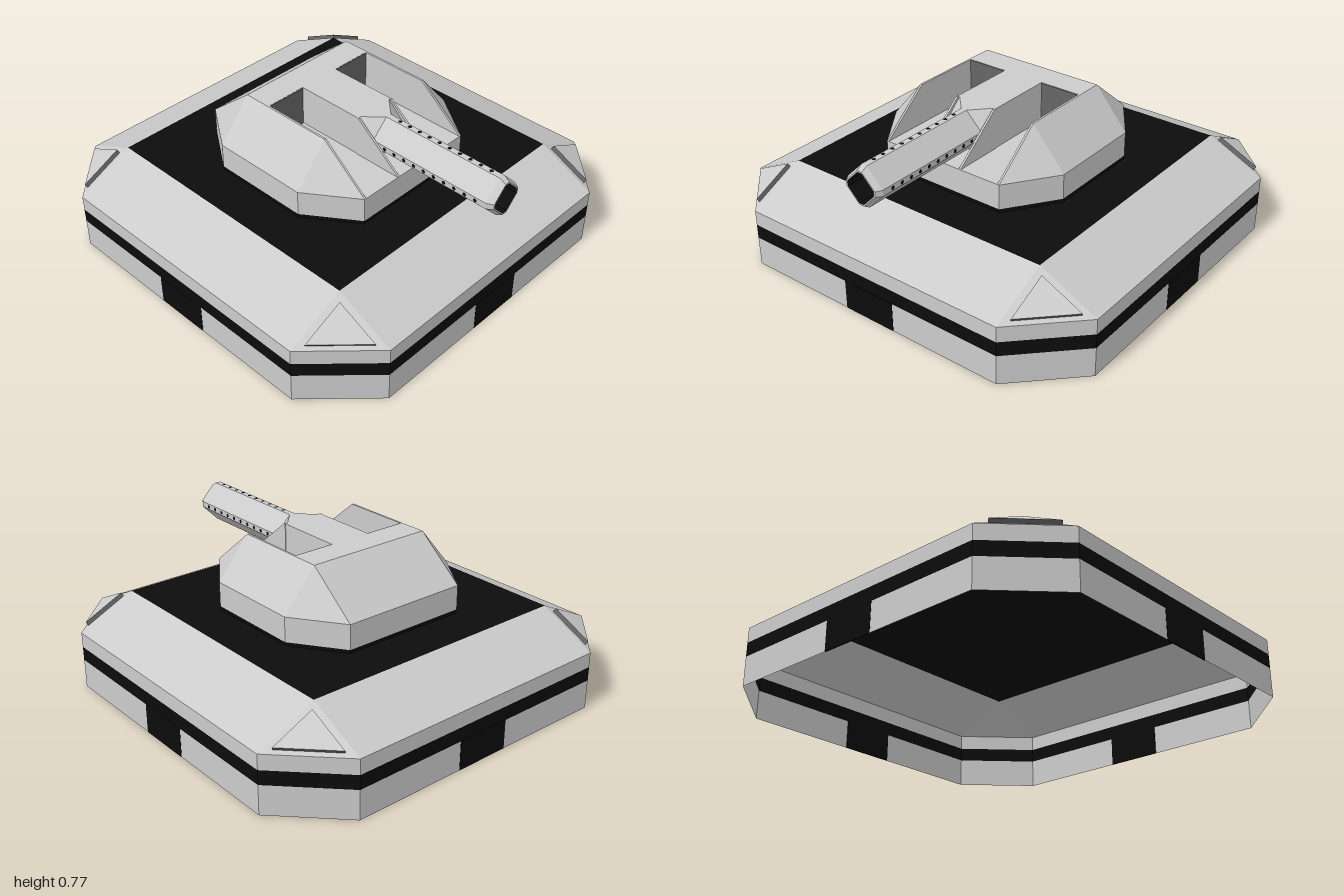
import * as THREE from 'three';
import { ConvexGeometry } from 'three/addons/geometries/ConvexGeometry.js';

const material = (color) => new THREE.MeshStandardMaterial({ color, flatShading: true, side: THREE.DoubleSide });
const grey = material(0xcccccc), black = material(0x0c0c0c), dark = material(0x666666);
const V = (x, y, z) => new THREE.Vector3(x, y, z);

function part(parent, name, geometry, mat = grey) {
  const mesh = new THREE.Mesh(geometry, mat);
  mesh.name = name;
  parent.add(mesh);
  return mesh;
}

function fromTriangles(points) {
  const g = new THREE.BufferGeometry().setFromPoints(points);
  g.computeVertexNormals();
  return g;
}

// Skin through a list of closed rings
function loft(rings) {
  const out = [];
  for (let r = 0; r + 1 < rings.length; r++) {
    const a = rings[r], b = rings[r + 1], n = a.length;
    for (let i = 0; i < n; i++) {
      const j = (i + 1) % n;
      for (const t of [[a[i], a[j], b[j]], [a[i], b[j], b[i]]]) {
        if (new THREE.Triangle(...t).getArea() > 1e-7) out.push(...t);
      }
    }
  }
  return fromTriangles(out);
}

// Flat convex polygon
function face(p) {
  const out = [];
  for (let i = 1; i + 1 < p.length; i++) out.push(p[0], p[i], p[i + 1]);
  return fromTriangles(out);
}

// Chamfered rectangle at height y
const octagon = (x, z, cx, cz, y) => [
  [x, cz], [x, -cz], [cx, -z], [-cx, -z], [-x, -cz], [-x, cz], [-cx, z], [cx, z],
].map(([px, pz]) => V(px, y, pz));

// Solid between x0 and x1 with a side profile of [z, y] points
const slab = (x0, x1, profile, extra = []) => new ConvexGeometry([
  ...profile.flatMap(([z, y]) => [V(x0, y, z), V(x1, y, z)]), ...extra]);

function buildBase() {
  const base = new THREE.Group();
  base.name = 'base';
  const ring = (y) => octagon(1, 1, 0.71, 0.71, y);
  const deck = octagon(0.71, 0.71, 0.71, 0.71, 0.43);
  part(base, 'lowerWall', loft([ring(0), ring(0.145)]));
  part(base, 'darkBand', loft([ring(0.145), ring(0.215)]), black);
  part(base, 'upperWall', loft([ring(0.215), ring(0.29)]));
  part(base, 'slopedRim', loft([ring(0.29), deck]));
  part(base, 'deck', face([deck[0], deck[1], deck[3], deck[5]]), black);

  // Raised triangle on each corner facet
  const rimY = (x, z) => 0.43 - 0.14 * (x + z - 1.42) / 0.29;
  const foot = [[0.74, 0.74], [0.74, 0.945], [0.945, 0.74]].map(([x, z]) => V(x, rimY(x, z), z));
  const lift = V(0.14, 0.29, 0.14).setLength(0.02);
  const top = foot.map((p) => p.clone().add(lift));

  for (let i = 0; i < 4; i++) {
    const side = new THREE.Group();
    side.name = 'baseSide';
    side.rotation.y = i * Math.PI / 2;
    part(side, 'doorway', new THREE.BoxGeometry(0.28, 0.145, 0.006), black).position.set(0, 0.0725, 0.998);
    part(side, 'cornerPlate', face(top));
    part(side, 'cornerPlateEdge', loft([foot, top]), dark);
    base.add(side);
  }
  return base;
}

function buildTurret() {
  const turret = new THREE.Group();
  turret.name = 'turret';
  const ring = (y) => octagon(0.5, 0.495, 0.33, 0.25, y);
  part(turret, 'turretSeam', loft([ring(0.43), ring(0.447)]), black);
  part(turret, 'turretWall', loft([ring(0.447), ring(0.57)]));
  part(turret, 'slotFloor', face(ring(0.57)));

  part(turret, 'rearHull', slab(-0.32, 0.32, [[-0.495, 0.57], [-0.25, 0.77], [-0.11, 0.77], [-0.11, 0.57]]));
  part(turret, 'centreBlock', slab(-0.11, 0.11, [[-0.11, 0.57], [-0.11, 0.77], [0.245, 0.77], [0.245, 0.57]]));

  const fullProfile = [[-0.495, 0.57], [-0.25, 0.77], [0.25, 0.77], [0.495, 0.57]];
  for (const s of [-1, 1]) {
    part(turret, 'sideHull', slab(s * 0.32, s * 0.33, fullProfile, [V(s * 0.5, 0.57, 0.25), V(s * 0.5, 0.57, -0.25)]));
    part(turret, 'cheek', slab(s * 0.102, s * 0.113, [[0.24, 0.57], [0.24, 0.77], [0.25, 0.77], [0.495, 0.57]]));
    part(turret, 'slotBackWall', new THREE.BoxGeometry(0.205, 0.198, 0.006), dark)
      .position.set(s * 0.2165, 0.67, -0.108);
  }
  return turret;
}

function buildBarrel() {
  const barrel = new THREE.Group();
  barrel.name = 'barrel';
  barrel.position.y = 0.67;
  // Diamond section with flattened corners; f sets the flat half-width
  const section = (z, r, f) => [
    [r, -f], [r, f], [f, r], [-f, r], [-r, f], [-r, -f], [-f, -r], [f, -r],
  ].map(([x, y]) => V(x, y, z));
  part(barrel, 'barrelTube', loft([
    section(0.24, 0.1, 0.1), section(0.33, 0.1, 0.015), section(0.97, 0.1, 0.015),
    section(1, 0.082, 0.013), section(1, 0.074, 0.012),
  ]));
  part(barrel, 'bore', loft([section(1, 0.074, 0.012), section(0.9, 0.07, 0.012), section(0.9, 0, 0)]), black);

  // Row of vent holes along each flattened edge
  const dot = new THREE.CircleGeometry(0.01, 8).rotateX(-Math.PI / 2);
  for (let k = 0; k < 4; k++) {
    const row = new THREE.Group();
    row.name = 'ventRow';
    row.rotation.z = k * Math.PI / 2;
    for (let i = 0; i < 10; i++) {
      part(row, 'ventHole', dot, black).position.set(0, 0.1015, 0.4 + i * 0.057);
    }
    barrel.add(row);
  }
  return barrel;
}

export function createModel() {
  const model = new THREE.Group();
  model.name = 'turretEmplacement';
  model.add(buildBase(), buildTurret(), buildBarrel());
  return model;
}
